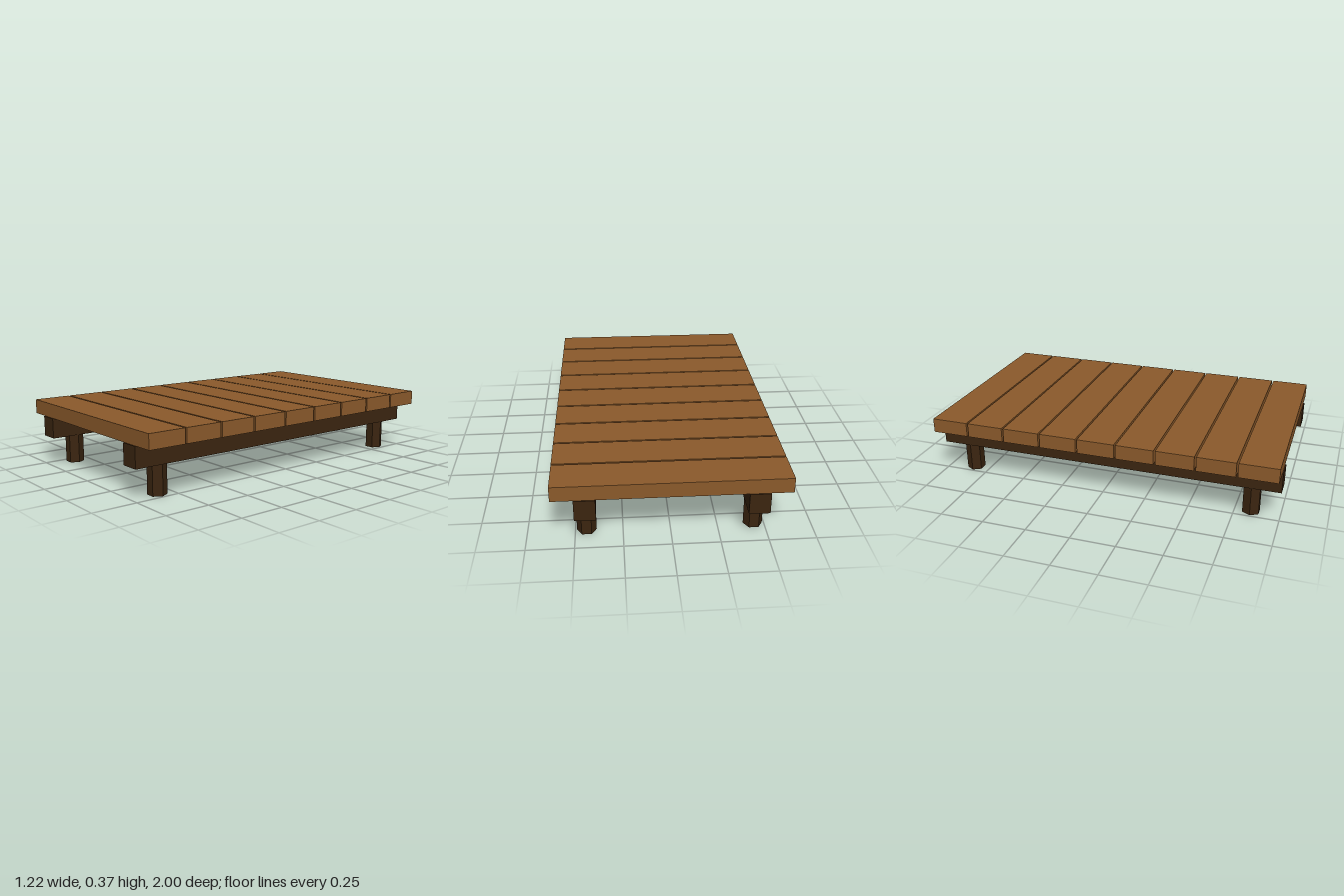
import * as THREE from 'three';

export function createModel() {
  const model = new THREE.Group();
  model.name = 'plankPlatform';

  const plankWood = new THREE.MeshStandardMaterial({ color: 0x8b5a2b });
  plankWood.name = 'plank wood';
  const darkWood = new THREE.MeshStandardMaterial({ color: 0x3b2510 });
  darkWood.name = 'dark wood';

  const add = (name, geometry, material, x, y, z) => {
    const mesh = new THREE.Mesh(geometry, material);
    mesh.name = name;
    mesh.position.set(x, y, z);
    model.add(mesh);
  };

  // Nine deck planks with narrow gaps between them
  const plank = new THREE.BoxGeometry(1.22, 0.082, 0.212);
  for (let i = 0; i < 9; i++) {
    add(`plank${i + 1}`, plank, plankWood, 0, 0.324, (i - 4) * 0.222);
  }

  // Two long beams, each on a pair of hexagonal legs
  const beam = new THREE.BoxGeometry(0.11, 0.116, 2);
  const leg = new THREE.CylinderGeometry(0.0515, 0.0515, 0.167, 6).rotateY(Math.PI / 2).toNonIndexed();
  leg.computeVertexNormals();
  for (const [side, x] of [['left', 0.44], ['right', -0.44]]) {
    add(`${side}Beam`, beam, darkWood, x, 0.225, 0);
    add(`${side}FrontLeg`, leg, darkWood, x, 0.0835, 0.84);
    add(`${side}BackLeg`, leg, darkWood, x, 0.0835, -0.84);
  }

  return model;
}
